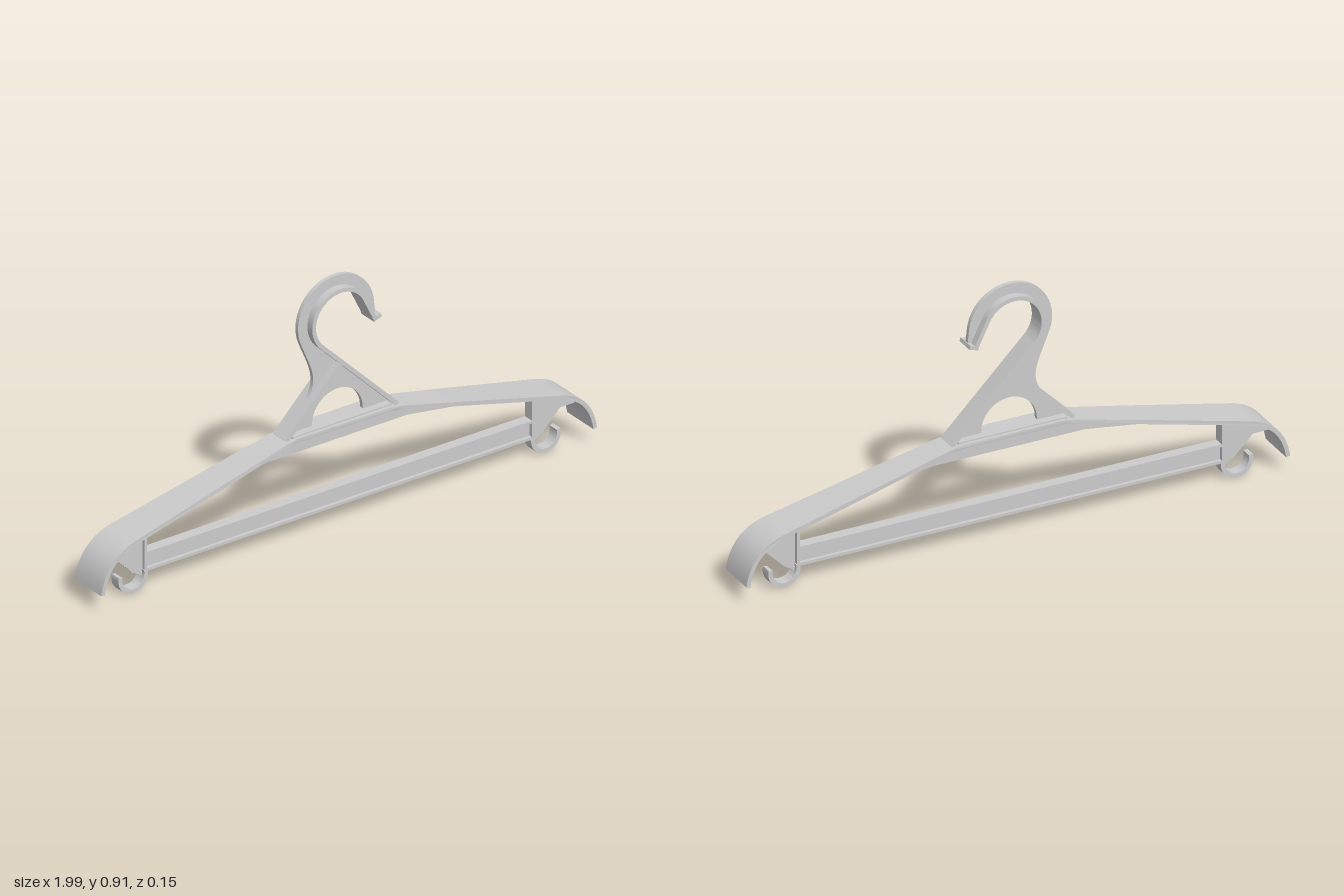
import * as THREE from 'three';
import { toCreasedNormals } from 'three/addons/utils/BufferGeometryUtils.js';

const material = new THREE.MeshStandardMaterial({ color: 0xcccccc });
const V = (x, y) => new THREE.Vector2(x, y);

function add(parent, name, geometry) {
  const mesh = new THREE.Mesh(geometry, material);
  mesh.name = name;
  parent.add(mesh);
  return mesh;
}

// Flat plate of a shape, centred on z = 0
function plate(shape, depth) {
  const g = new THREE.ExtrudeGeometry(shape, { depth, bevelEnabled: false, curveSegments: 32 });
  g.translate(0, 0, -depth / 2);
  return toCreasedNormals(g, 0.5);
}

// Strip of even thickness following a centre line, with mitred bends
function ribbon(points, thickness, depth) {
  const left = [], right = [];
  points.forEach((p, i) => {
    const a = p.clone().sub(points[Math.max(i - 1, 0)]).normalize();
    const b = points[Math.min(i + 1, points.length - 1)].clone().sub(p).normalize();
    const t = a.clone().add(b).normalize();
    const d = thickness / 2 / Math.max(0.5, t.dot(i ? a : b));
    left.push(V(p.x - t.y * d, p.y + t.x * d));
    right.unshift(V(p.x + t.y * d, p.y - t.x * d));
  });
  return plate(new THREE.Shape([...left, ...right]), depth);
}

function arc(cx, cy, r, from, to, n = 40) {
  return Array.from({ length: n + 1 }, (_, i) => {
    const a = THREE.MathUtils.degToRad(from + (to - from) * i / n);
    return V(cx + r * Math.cos(a), cy + r * Math.sin(a));
  });
}

export function createModel() {
  const group = new THREE.Group();

  // Shoulder strip: flat middle, sloping arms, drooping ends, wider outwards
  const end = new THREE.CubicBezierCurve(V(0.85, 0.218), V(0.94, 0.196), V(0.978, 0.14), V(0.99, 0.063));
  const half = [V(0.19, 0.373), V(0.24, 0.363), V(0.5, 0.302), ...end.getPoints(16)];
  const mirrored = half.map(p => V(-p.x, p.y)).reverse();
  const strip = ribbon([...mirrored, ...half], 0.015, 2);
  const pos = strip.attributes.position;
  for (let i = 0; i < pos.count; i++) {
    const t = THREE.MathUtils.clamp((Math.abs(pos.getX(i)) - 0.19) / 0.71, 0, 1);
    pos.setZ(i, pos.getZ(i) * (0.047 + 0.026 * t));
  }
  strip.computeVertexNormals();
  add(group, 'shoulderStrip', toCreasedNormals(strip, 0.5));

  // Thin rib under the strip
  add(group, 'shoulderRib', plate(new THREE.Shape([
    V(-0.78, 0.232), V(-0.28, 0.306), V(0.28, 0.306), V(0.78, 0.232),
    V(0.24, 0.363), V(0.19, 0.373), V(-0.19, 0.373), V(-0.24, 0.363)]), 0.014));

  // Hook web with the arched opening at its base
  const cx = -0.005, cy = 0.757;
  const web = new THREE.Shape();
  web.moveTo(-0.225, 0.376);
  web.lineTo(-0.13, 0.478);
  web.bezierCurveTo(-0.06, 0.55, -0.12, 0.62, -0.153, 0.717);
  arc(cx, cy, 0.153, 195, 5).forEach(p => web.lineTo(p.x, p.y));
  web.lineTo(0.152, 0.725);
  web.lineTo(0.135, 0.72);
  arc(cx, cy, 0.108, 25, 225).forEach(p => web.lineTo(p.x, p.y));
  web.lineTo(0.222, 0.377);
  const arch = new THREE.Path([V(-0.104, 0.385), V(0.104, 0.385), ...arc(0, 0.39, 0.102, 0, 180, 32)]);
  web.holes.push(arch);
  add(group, 'hookWeb', plate(web, 0.015));

  // Wide flange: right leg, round the hook, to the turned-out tip
  add(group, 'hookFlange', ribbon([V(0.224, 0.375), ...arc(cx, cy, 0.108, 225, 25),
    V(0.134, 0.718)], 0.015, 0.07));
  add(group, 'hookTip', ribbon([V(0.126, 0.715), V(0.158, 0.725)], 0.013, 0.07));
  add(group, 'leftLegFlange', ribbon([V(-0.224, 0.375), V(-0.002, 0.597)], 0.015, 0.07));
  add(group, 'hookBase', new THREE.BoxGeometry(0.4, 0.008, 0.07)).position.y = 0.381;

  // Trouser bar with an I-shaped section
  const bar = new THREE.Group();
  bar.name = 'trouserBar';
  group.add(bar);
  for (const y of [0.07, 0.13])
    add(bar, 'barFlange', new THREE.BoxGeometry(1.56, 0.01, 0.04)).position.y = y;
  add(bar, 'barWeb', new THREE.BoxGeometry(1.56, 0.06, 0.014)).position.y = 0.1;

  // End brackets, posts and small open hooks on both sides
  for (const s of [-1, 1]) {
    const bracket = new THREE.Group();
    bracket.name = s > 0 ? 'leftBracket' : 'rightBracket';
    group.add(bracket);
    add(bracket, 'post', new THREE.BoxGeometry(0.01, 0.175, 0.04)).position.set(s * 0.779, 0.15, 0);
    const outline = [[0.775, 0.236], [0.775, 0.065], [0.825, 0.068], [0.84, 0.085], [0.895, 0.14],
      [0.966, 0.14], [0.945, 0.175], [0.91, 0.2], [0.86, 0.216]];
    add(bracket, 'bracketPlate', plate(new THREE.Shape(outline.map(([x, y]) => V(s * x, y))), 0.014));
    const ring = arc(0.83, 0.06, 0.052, 165, 373, 32).map(p => V(s * p.x, p.y));
    add(bracket, 'sideHook', ribbon(ring, 0.015, 0.04));
    // Web filling the bend between bracket and side hook
    add(bracket, 'sideHookWeb', plate(new THREE.Shape([V(s * 0.778, 0.07), V(s * 0.785, 0.04),
      V(s * 0.8, 0.055), V(s * 0.825, 0.07)]), 0.014));
  }
  return group;
}
